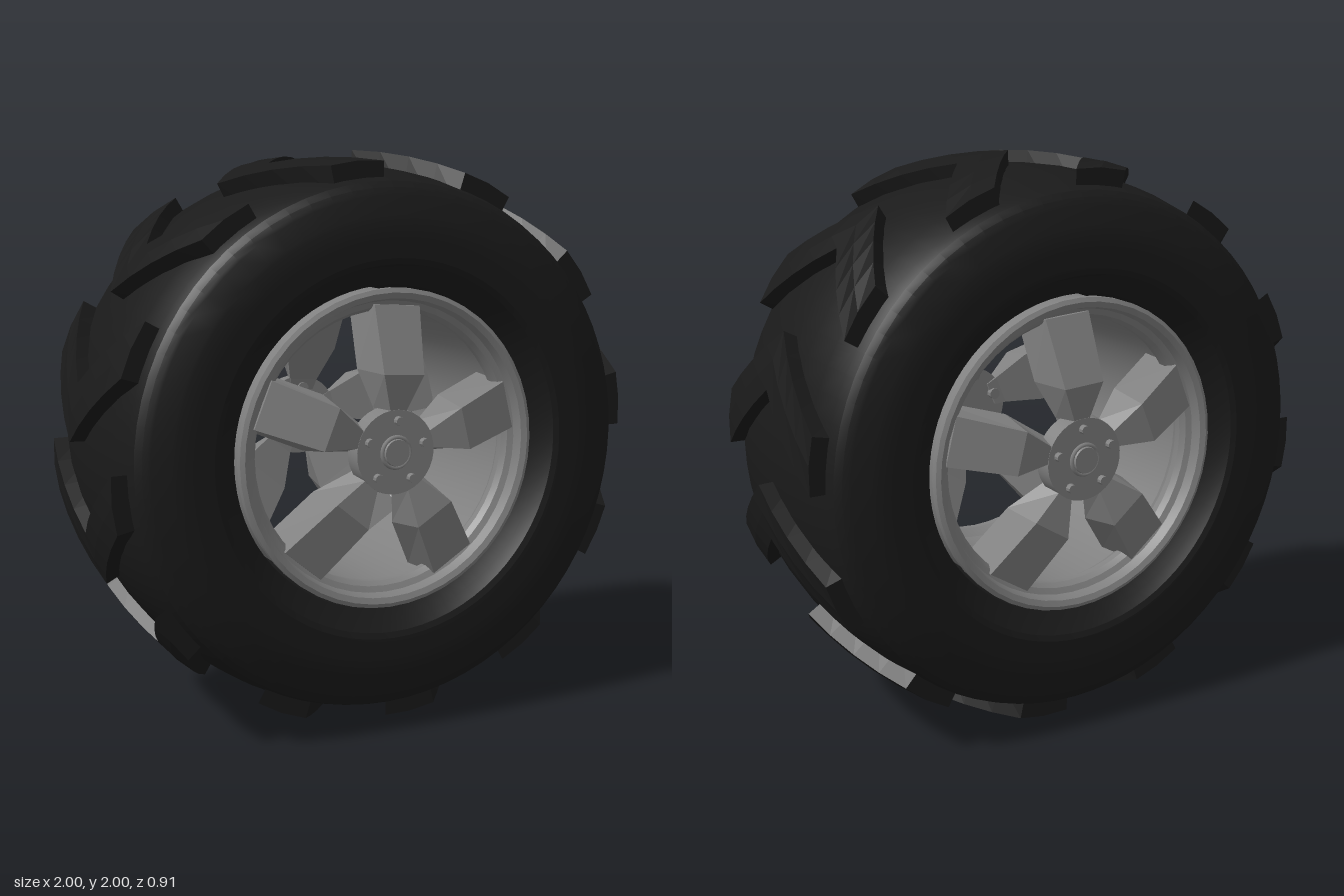
import * as THREE from 'three';
import { toCreasedNormals } from 'three/addons/utils/BufferGeometryUtils.js';

const rubber = new THREE.MeshStandardMaterial({ color: 0x1a1a1a });
const metal = new THREE.MeshStandardMaterial({ color: 0x808080 });
const deg = Math.PI / 180;

function part(name, geometry, material, parent) {
  const mesh = new THREE.Mesh(geometry, material);
  mesh.name = name;
  parent.add(mesh);
  return mesh;
}

// Flat-shaded solid through a row of equal-length closed loops, capped at both ends
function loft(loops) {
  const n = loops[0].length;
  const index = [];
  for (let j = 0; j < loops.length - 1; j++) {
    for (let i = 0; i < n; i++) {
      const a = j * n + i, b = j * n + (i + 1) % n;
      index.push(a, b, b + n, a, b + n, a + n);
    }
  }
  const end = (loops.length - 1) * n;
  for (let i = 1; i < n - 1; i++) {
    index.push(0, i + 1, i, end, end + i, end + i + 1);
  }
  const g = new THREE.BufferGeometry();
  g.setAttribute('position', new THREE.Float32BufferAttribute(loops.flat(2), 3));
  g.setIndex(index);
  const flat = g.toNonIndexed();
  flat.computeVertexNormals();
  return flat;
}

// Ring turned around the z axis from half a profile of [radius, z], inner rim to centre line
function ring(half, inner, segments, crease) {
  const front = half.map(([r, z]) => new THREE.Vector2(r, z));
  const back = half.map(([r, z]) => new THREE.Vector2(r, -z));
  const points = [...back, ...front.reverse(), new THREE.Vector2(inner, -half[0][1])];
  const g = new THREE.LatheGeometry(points, segments);
  g.rotateX(Math.PI / 2);
  return toCreasedNormals(g, crease);
}

// One V-shaped lug, its point leading at z = 0
function lugGeometry() {
  const halfWidth = 0.35, slant = 15.5, span = 11.5, steps = 8;
  const loops = [];
  for (let i = 0; i <= steps; i++) {
    const t = (i / steps) * 2 - 1;
    const outer = 1.0 - 0.03 * t * t, inner = 0.86;
    const start = 2.5 + slant * Math.abs(t);
    const at = (r, a) => [r * Math.sin(a * deg), r * Math.cos(a * deg), t * halfWidth];
    loops.push([
      at(inner, start), at(inner, start + span), at(outer - 0.006, start + span),
      at(outer, start + span / 2), at(outer, start),
    ]);
  }
  return loft(loops);
}

// Spoke along +y: narrow at the hub, widest at the shoulder, falling back to the rim
function spokeGeometry() {
  const sections = [
    // radius, front z, back z, front half width, back half width
    [0.10, 0.425, 0.36, 0.025, 0.045],
    [0.14, 0.43, 0.35, 0.03, 0.055],
    [0.265, 0.455, 0.30, 0.075, 0.10],
    [0.49, 0.37, 0.20, 0.085, 0.10],
  ];
  return loft(sections.map(([y, f, b, wf, wb]) => [
    [-wb, y, b], [-wf, y, f], [wf, y, f], [wb, y, b],
  ]));
}

function disc(radiusTop, radius, back, front, sides) {
  const g = new THREE.CylinderGeometry(radiusTop, radius, front - back, sides);
  g.rotateX(Math.PI / 2);
  g.translate(0, 0, (front + back) / 2);
  return toCreasedNormals(g, 0.6);
}

// Hub, spokes and bolts for one side of the wheel
function wheelFace() {
  const face = new THREE.Group();
  part('hub', disc(0.145, 0.15, 0.37, 0.432, 32), metal, face);
  part('hubCap', disc(0.045, 0.05, 0.43, 0.447, 24), metal, face);
  const collar = new THREE.TorusGeometry(0.052, 0.008, 6, 24);
  part('capCollar', collar, metal, face).position.z = 0.434;

  const spoke = spokeGeometry();
  const bolt = disc(0.015, 0.021, 0.345, 0.452, 10);
  for (let i = 0; i < 5; i++) {
    const a = i * 72 * deg;
    part('spoke', spoke, metal, face).rotation.z = a;
    const b = part('bolt', bolt, metal, face);
    b.position.set(-0.108 * Math.sin(a), 0.108 * Math.cos(a), 0);
  }
  return face;
}

export function createModel() {
  const model = new THREE.Group();
  model.name = 'wheel';
  const wheel = new THREE.Group();
  wheel.name = 'wheelAssembly';
  wheel.position.y = 1;
  model.add(wheel);

  // Tyre carcass with stepped sidewalls
  const tyreHalf = [
    [0.95, 0], [0.946, 0.12], [0.932, 0.25], [0.912, 0.35], [0.9, 0.385], [0.88, 0.405],
    [0.865, 0.412], [0.855, 0.418], [0.79, 0.432], [0.78, 0.436], [0.72, 0.44],
    [0.65, 0.438], [0.63, 0.43], [0.6, 0.4], [0.558, 0.37],
  ].reverse();
  part('tyre', ring(tyreHalf, 0.558, 72, 0.35), rubber, wheel);

  // Twelve lugs around the tread
  const lug = lugGeometry();
  for (let i = 0; i < 12; i++) {
    part('treadLug', lug, rubber, wheel).rotation.z = i * 30 * deg;
  }

  // Rim barrel with a stepped lip at each edge
  const rimHalf = [
    [0.53, 0], [0.53, 0.36], [0.55, 0.375], [0.55, 0.4], [0.535, 0.408],
    [0.515, 0.4], [0.505, 0.365], [0.485, 0.355], [0.472, 0.335], [0.472, 0.31], [0.495, 0.27],
  ].reverse();
  part('rim', ring(rimHalf, 0.495, 48, 0.4), metal, wheel);

  // Matching spoked faces at front and back
  const spokes = new THREE.Group();
  spokes.name = 'spokedFaces';
  spokes.rotation.z = -4 * deg;
  wheel.add(spokes);
  const front = wheelFace();
  front.name = 'frontFace';
  const back = wheelFace();
  back.name = 'backFace';
  back.rotation.y = Math.PI;
  spokes.add(front, back);
  return model;
}
